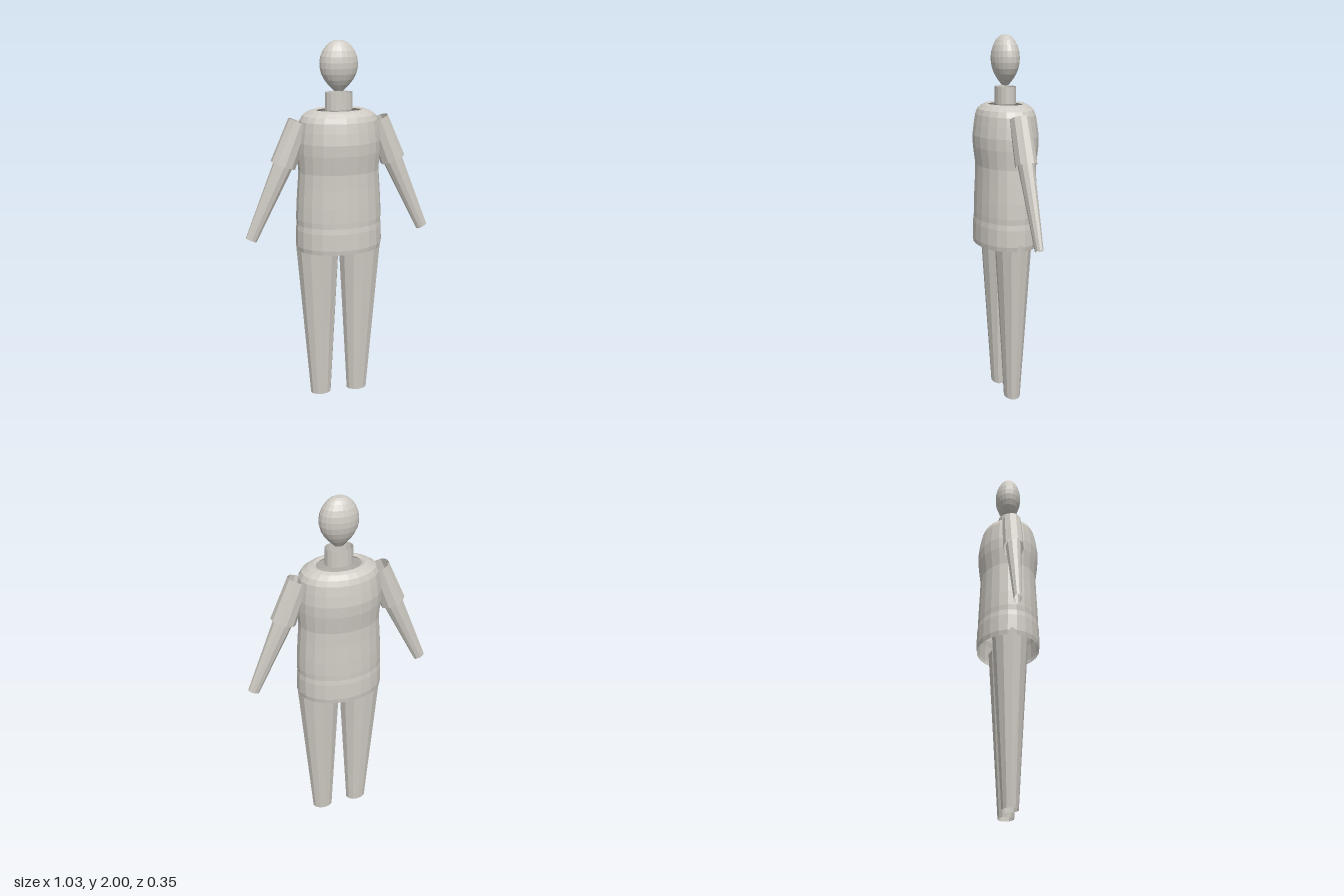
import * as THREE from 'three';

const clay = new THREE.MeshStandardMaterial({ color: 0xcfcbc4, side: THREE.DoubleSide, flatShading: true });
clay.name = 'warm grey';

// Open elliptical tube through rings of [y, rx, rz, centreX], listed from top to bottom
function tube(name, rings, sides) {
  const geo = new THREE.CylinderGeometry(1, 1, 1, sides, rings.length - 1, true);
  const pos = geo.attributes.position;
  for (let i = 0; i < pos.count; i++) {
    const [y, rx, rz, cx = 0] = rings[Math.floor(i / (sides + 1))];
    pos.setXYZ(i, cx + pos.getX(i) * rx, y, pos.getZ(i) * rz);
  }
  geo.computeVertexNormals();
  const mesh = new THREE.Mesh(geo, clay);
  mesh.name = name;
  return mesh;
}

// Tapered limb between two points [x, y], with end radii [rx, rz]
function limb(name, from, to, r0, r1, sides) {
  const dx = to[0] - from[0], dy = to[1] - from[1];
  const mesh = tube(name, [[0, ...r0], [-Math.hypot(dx, dy), ...r1]], sides);
  mesh.position.set(from[0], from[1], 0);
  mesh.rotation.z = Math.atan2(dx, -dy);
  return mesh;
}

export function createModel() {
  const model = new THREE.Group();
  model.name = 'figure';

  // Egg-shaped head, closed at both ends
  const head = [[2, 0, 0], [2, 0.028, 0.02]];
  const outline = [[1.99, 0.048], [1.975, 0.066], [1.95, 0.085], [1.92, 0.098], [1.89, 0.103],
    [1.86, 0.102], [1.83, 0.094], [1.8, 0.078], [1.775, 0.058], [1.755, 0.037], [1.742, 0.024]];
  for (const [y, r] of outline) head.push([y, r, r * 0.71]);
  head.push([1.74, 0, 0]);
  model.add(tube('head', head, 20));

  model.add(tube('neck', [[1.735, 0.075, 0.055], [1.645, 0.075, 0.055]], 16));

  // Loose shirt, open at collar and hem
  model.add(tube('shirtBody', [
    [1.64, 0.12, 0.088], [1.647, 0.137, 0.1], [1.638, 0.165, 0.12], [1.618, 0.197, 0.143],
    [1.59, 0.213, 0.154], [1.54, 0.221, 0.163], [1.48, 0.228, 0.171], [1.42, 0.228, 0.169],
    [1.32, 0.221, 0.156], [1.24, 0.227, 0.158], [1.14, 0.234, 0.163], [1.06, 0.237, 0.166],
    [1.03, 0.235, 0.166], [1.0, 0.239, 0.17], [0.91, 0.241, 0.173], [0.885, 0.236, 0.17],
  ], 22));

  for (const s of [1, -1]) {
    const side = s > 0 ? 'left' : 'right';
    model.add(limb(side + 'Sleeve', [s * 0.216, 1.588], [s * 0.307, 1.36], [0.06, 0.053], [0.07, 0.056], 10));
    model.add(limb(side + 'Forearm', [s * 0.3, 1.375], [s * 0.489, 0.96], [0.055, 0.042], [0.032, 0.02], 10));
    model.add(tube(side + 'Leg', [[0.92, 0.122, 0.097, s * 0.121], [0, 0.059, 0.043, s * 0.108]], 12));
  }
  return model;
}
